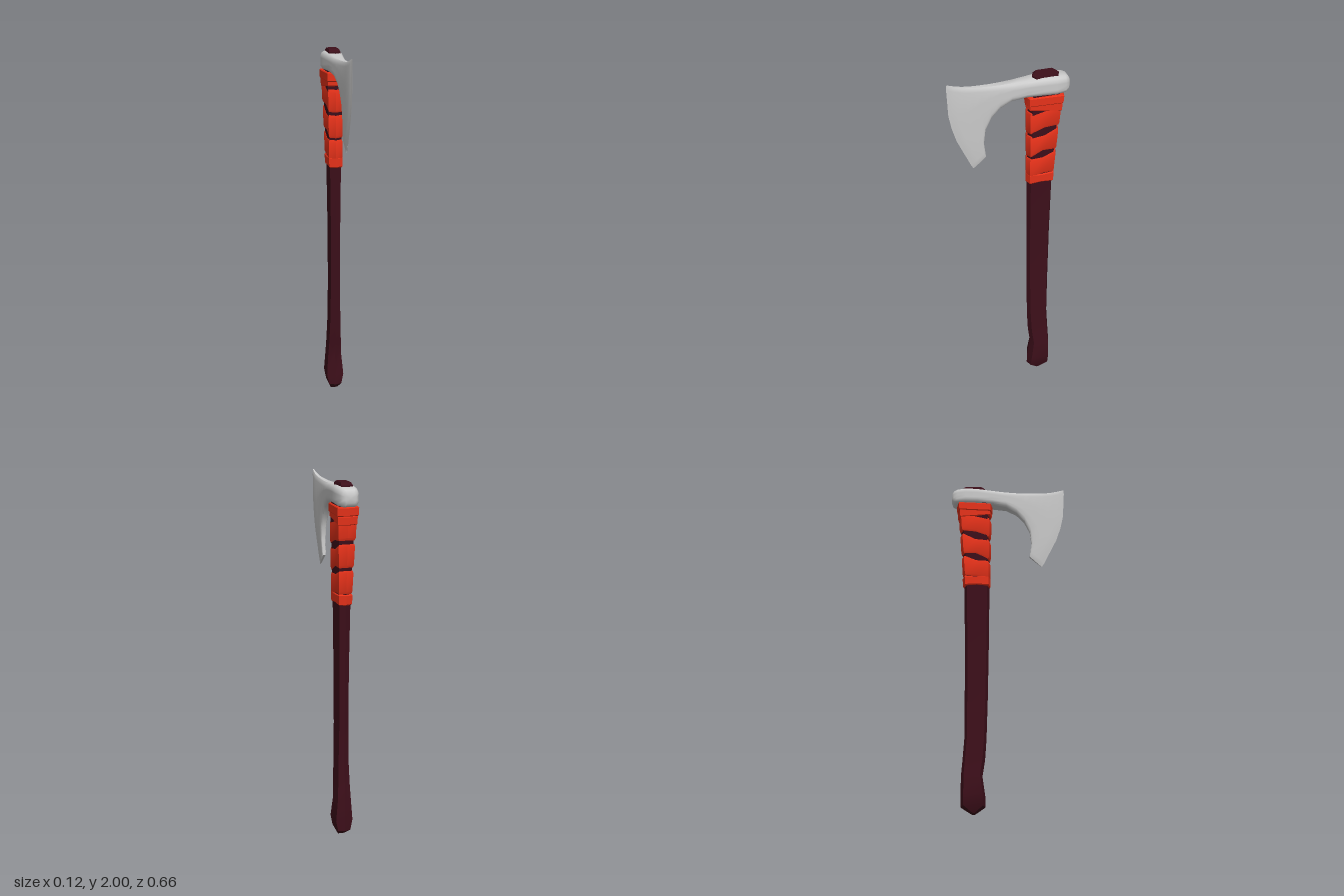
import * as THREE from 'three';
import { toCreasedNormals } from 'three/addons/utils/BufferGeometryUtils.js';

const lerp = THREE.MathUtils.lerp;

// Linear interpolation through [key, value] pairs
function sample(table, k) {
  if (k <= table[0][0]) return table[0][1];
  for (let i = 1; i < table.length; i++) {
    const [k0, v0] = table[i - 1], [k1, v1] = table[i];
    if (k <= k1) return lerp(v0, v1, (k - k0) / (k1 - k0));
  }
  return table[table.length - 1][1];
}

// Closed solid through rings of [x, y, z] points, capped at both ends
function loft(rings, crease) {
  const n = rings[0].length, pos = rings.flat(), tris = [];
  for (let r = 0; r < rings.length - 1; r++) {
    for (let i = 0; i < n; i++) {
      const j = (i + 1) % n, a = r * n + i, b = r * n + j;
      tris.push([a, b, b + n], [a, b + n, a + n]);
    }
  }
  [0, rings.length - 1].forEach((r, end) => {
    const c = [0, 1, 2].map(k => rings[r].reduce((s, p) => s + p[k], 0) / n);
    const id = pos.push(c) - 1;
    for (let i = 0; i < n; i++) {
      const a = r * n + i, b = r * n + (i + 1) % n;
      tris.push(end ? [a, b, id] : [b, a, id]);
    }
  });
  // Turn the faces outward if the enclosed volume comes out negative
  const v = pos.map(p => new THREE.Vector3(...p));
  const volume = tris.reduce((s, [a, b, c]) => s + v[a].dot(v[b].clone().cross(v[c])), 0);
  if (volume < 0) tris.forEach(t => t.reverse());
  const geo = new THREE.BufferGeometry();
  geo.setAttribute('position', new THREE.Float32BufferAttribute(pos.flat(), 3));
  geo.setIndex(tris.flat());
  return toCreasedNormals(geo, crease);
}

// Six-sided outline: flat sides on x, a blunt ridge at front and back
function hexRing(hx, zf, zb, d, taper = 1) {
  const zm = (zf + zb) / 2, hm = hx * (1 + taper) / 2;
  return [
    [0, zf], [hx * taper, zf - d], [hm, zm], [hx, zb + d],
    [0, zb], [-hx, zb + d], [-hm, zm], [-hx * taper, zf - d],
  ];
}

function mesh(name, geometry, color) {
  const m = new THREE.Mesh(geometry, new THREE.MeshStandardMaterial({ color }));
  m.name = name;
  return m;
}

// Handle: y, half width, front z, back z
function handleGeometry() {
  const rows = [
    [0.003, 0.02, -0.17, -0.19], [0.04, 0.036, -0.117, -0.25], [0.1, 0.048, -0.119, -0.25],
    [0.21, 0.039, -0.135, -0.25], [0.3, 0.034, -0.122, -0.243], [0.42, 0.03, -0.115, -0.235],
    [0.65, 0.026, -0.11, -0.236], [1, 0.027, -0.106, -0.24], [1.34, 0.031, -0.105, -0.248],
    [1.6, 0.038, -0.108, -0.262], [1.86, 0.046, -0.105, -0.285], [1.9, 0.036, -0.125, -0.278],
    [1.985, 0.032, -0.128, -0.275], [1.998, 0.027, -0.145, -0.258],
  ];
  return loft(rows.map(([y, hx, zf, zb]) =>
    hexRing(hx, zf, zb, Math.min(0.014, (zf - zb) / 4)).map(([x, z]) => [x, y, z])), 0.5);
}

// Wrap band: wider at front and back than on the flanks, so gaps open between bands
function bandGeometry(y, endHeight, sideHeight, tilt, grow) {
  const levels = [[-1, 0], [-0.8, 1], [0.8, 1], [1, 0]];
  return loft(levels.map(([t, out]) => {
    const k = (y + t * endHeight / 2 - 1.34) / 0.52;
    const g = grow + (out - 1) * 0.004;
    const ring = hexRing(lerp(0.036, 0.052, k) + g, lerp(-0.1, -0.097, k) + g,
      lerp(-0.254, -0.292, k) - g, 0.012, lerp(1, 0.82, k));
    return ring.map(([x, z], i) => {
      const h = i === 2 || i === 6 ? sideHeight : endHeight;
      return [x, y + t * h / 2 + tilt * (-0.18 - z) / 0.08, z];
    });
  }), 0.5);
}

// Head: half thickness along z
const THICKNESS = [[-0.33, 0.03], [-0.31, 0.05], [-0.25, 0.06], [-0.2, 0.058], [-0.1, 0.045],
  [0, 0.033], [0.1, 0.023], [0.2, 0.016], [0.29, 0.012], [0.33, 0.006]];

// Sections from poll to cutting edge: top z, top y, bottom z, bottom y, bulge, thickness factor
function headGeometry() {
  const sections = [
    [-0.328, 1.95, -0.328, 1.9, 0, 0.9], [-0.318, 1.966, -0.318, 1.882, 0, 1],
    [-0.3, 1.973, -0.3, 1.876, 0, 1], [-0.25, 1.979, -0.25, 1.874, 0, 1],
    [-0.18, 1.979, -0.18, 1.876, 0, 1], [-0.1, 1.973, -0.09, 1.876, 0, 1],
    [-0.02, 1.967, -0.01, 1.864, 0, 1], [0.05, 1.965, 0.05, 1.83, 0, 1],
    [0.1, 1.965, 0.095, 1.78, 0.004, 1], [0.15, 1.967, 0.128, 1.71, 0.008, 1],
    [0.2, 1.97, 0.137, 1.63, 0.015, 1], [0.25, 1.976, 0.126, 1.545, 0.025, 1],
    [0.295, 1.988, 0.16, 1.513, 0.037, 0.9], [0.32, 1.997, 0.185, 1.49, 0.043, 0.65],
    [0.33, 2, 0.195, 1.482, 0.045, 0.2],
  ];
  return loft(sections.map(([zt, yt, zb, yb, bulge, f]) => {
    const e = Math.min(0.025, (yt - yb) * 0.3) / (yt - yb);
    const steps = [[0, 0.6], [e * 0.3, 0.85], [e, 1], [0.35, 1], [0.5, 1], [0.65, 1],
      [1 - e, 1], [1 - e * 0.3, 0.85], [1, 0.6]];
    const side = steps.map(([s, round]) => {
      const z = lerp(zt, zb, s) + bulge * 4 * s * (1 - s), y = lerp(yt, yb, s);
      const drop = THREE.MathUtils.clamp((1.87 - y) / 0.38, 0, 1);
      return [sample(THICKNESS, z) * f * round * (1 - 0.5 * drop), y, z];
    });
    return [...side, ...side.slice().reverse().map(([x, y, z]) => [-x, y, z])];
  }), 0.75);
}

export function createModel() {
  const axe = new THREE.Group();
  axe.name = 'axe';
  axe.add(mesh('handle', handleGeometry(), 0x3d0f1a));
  axe.add(mesh('axeHead', headGeometry(), 0xcccccc));

  // Cloth wrap: collars at both ends, slanted bands between
  const wrap = new THREE.Group();
  wrap.name = 'gripWrap';
  const bands = [
    [1.37, 0.06, 0.05, 0, 0.001], [1.45, 0.125, 0.1, 0.018, 0],
    [1.59, 0.125, 0.09, 0.02, 0], [1.735, 0.125, 0.1, 0.02, 0.001],
    [1.815, 0.05, 0.05, -0.01, 0.003], [1.85, 0.05, 0.05, 0, 0.007],
  ];
  bands.forEach((b, i) => wrap.add(mesh('wrapBand' + (i + 1), bandGeometry(...b), 0xe8321a)));
  axe.add(wrap);
  return axe;
}
